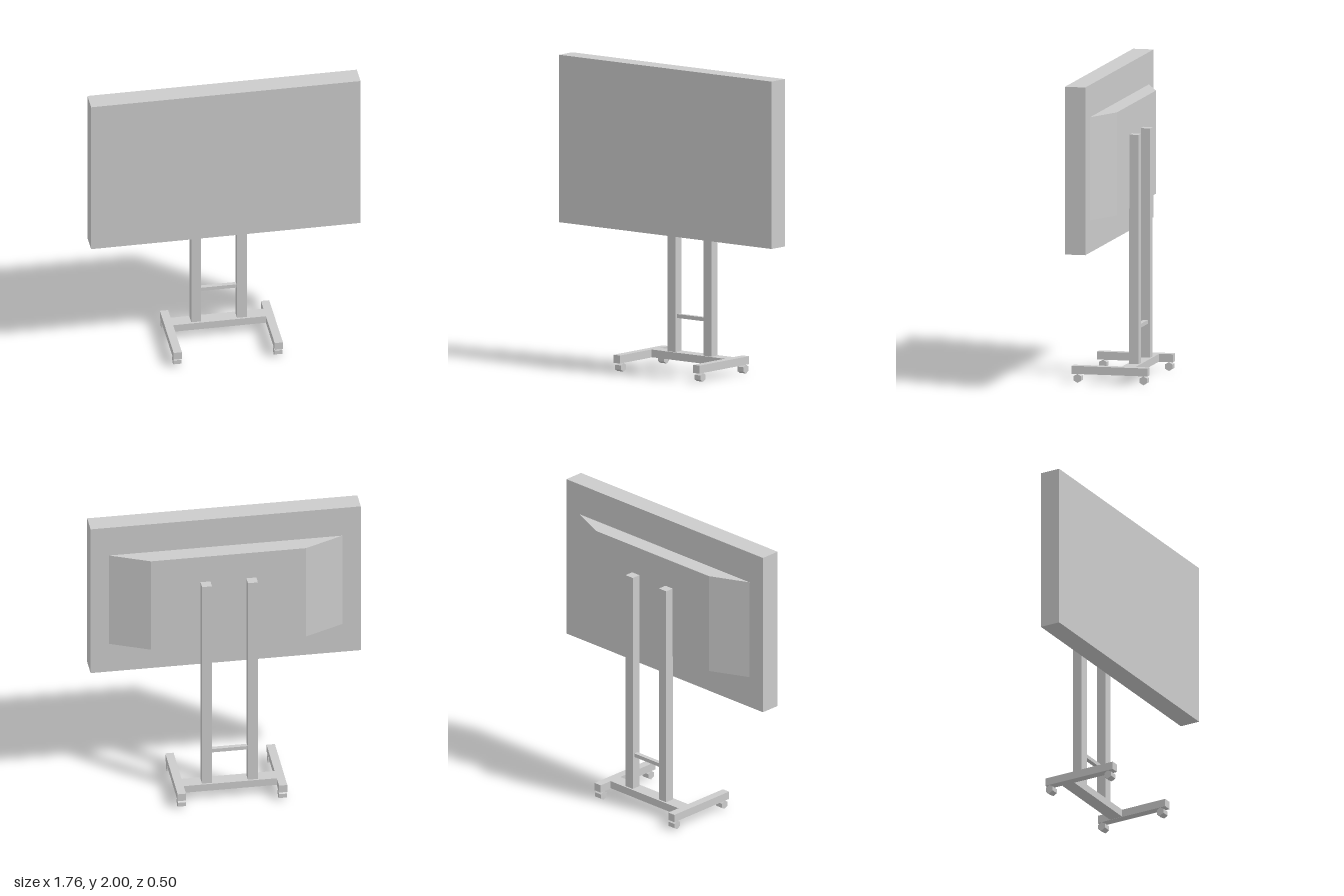
import * as THREE from 'three';

const material = new THREE.MeshStandardMaterial({ color: 0xcccccc, flatShading: true });

export function createModel() {
  const model = new THREE.Group();
  model.name = 'displayStand';

  const add = (name, geometry) => {
    const mesh = new THREE.Mesh(geometry, material);
    mesh.name = name;
    model.add(mesh);
    return mesh;
  };
  // Box given by its lower and upper bounds on each axis
  const box = (name, [x0, x1], [y0, y1], [z0, z1]) =>
    add(name, new THREE.BoxGeometry(x1 - x0, y1 - y0, z1 - z0))
      .position.set((x0 + x1) / 2, (y0 + y1) / 2, (z0 + z1) / 2);

  // Screen panel
  box('screen', [-0.88, 0.88], [0.91, 2], [0.026, 0.162]);

  // Rear housing: trapezoid plan extruded upwards
  const plan = new THREE.Shape([
    new THREE.Vector2(-0.76, -0.026),
    new THREE.Vector2(0.76, -0.026),
    new THREE.Vector2(0.505, 0.087),
    new THREE.Vector2(-0.505, 0.087),
  ]);
  const housing = new THREE.ExtrudeGeometry(plan, { depth: 0.67, bevelEnabled: false });
  housing.rotateX(-Math.PI / 2);
  add('rearHousing', housing).position.y = 1.12;

  // Bars joining the two sides
  box('baseCrossbar', [-0.305, 0.305], [0.06, 0.11], [-0.16, -0.07]);
  box('rung', [-0.117, 0.117], [0.33, 0.355], [-0.132, -0.103]);

  // Hexagonal wheel with its axle along x and a corner on top
  const wheel = new THREE.CylinderGeometry(0.029, 0.029, 0.052, 6, 1, false, Math.PI / 6);
  wheel.rotateZ(Math.PI / 2);

  for (const [side, s] of [['left', 1], ['right', -1]]) {
    const span = (a, b) => (s > 0 ? [a, b] : [-b, -a]);
    box(`${side}Post`, span(0.117, 0.182), [0.11, 1.6], [-0.148, -0.084]);
    box(`${side}Foot`, span(0.303, 0.357), [0.058, 0.11], [-0.252, 0.252]);
    for (const [end, z] of [['Front', 0.214], ['Back', -0.224]]) {
      add(`${side}${end}Wheel`, wheel).position.set(s * 0.329, 0.029, z);
    }
  }
  return model;
}
